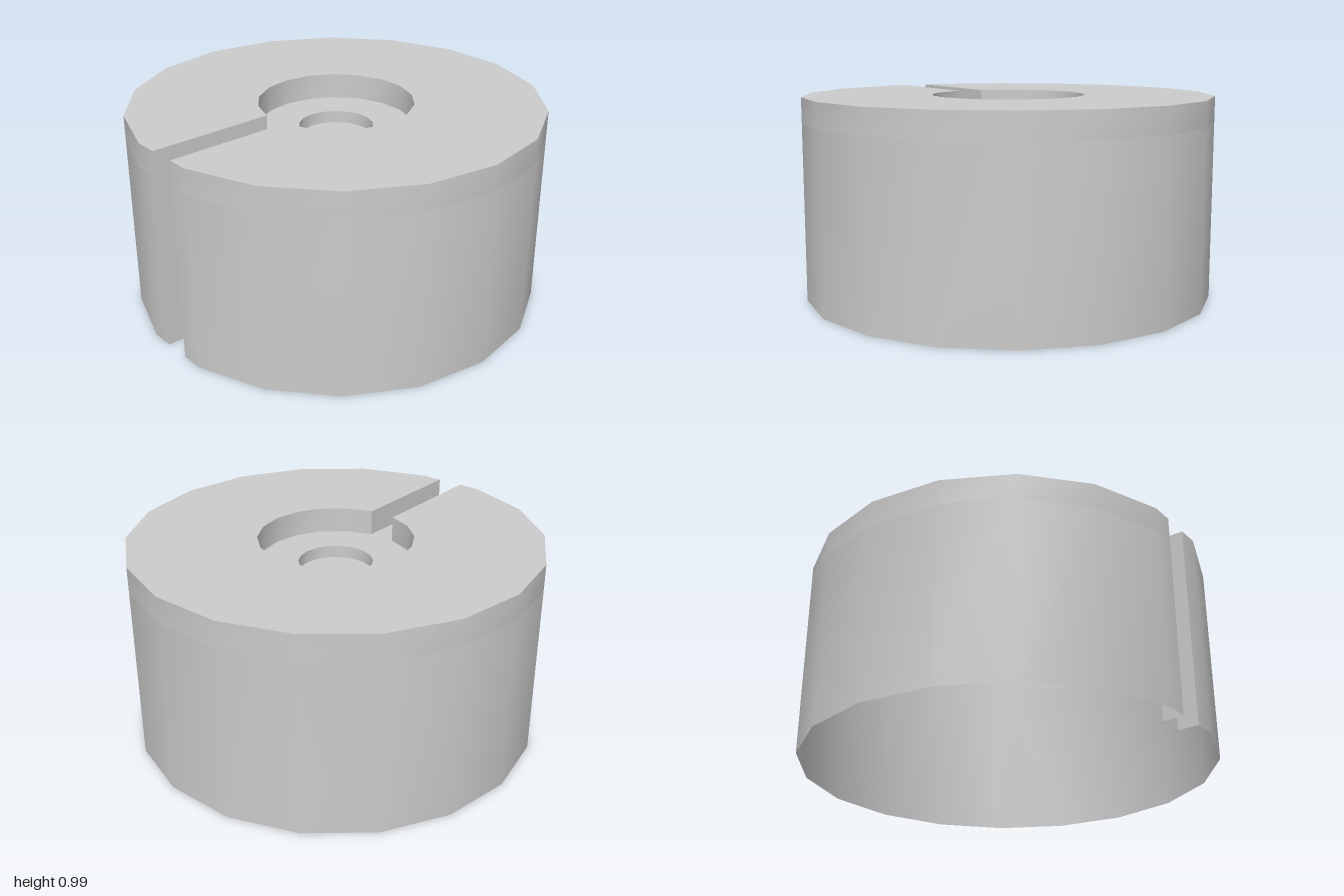
import * as THREE from 'three';
import { toCreasedNormals } from 'three/addons/utils/BufferGeometryUtils.js';

const SIDES = 18;
const TOP = 0.985, RECESS = 0.86, CUP = 0.8;   // heights of the top, recess floor and cup floor
const R_RECESS = 0.375, R_CUP = 0.18;
const SLOT = R_RECESS * Math.sin(Math.PI / SIDES); // half width: one recess facet
const SLOT_BACK = 0.885;

const material = new THREE.MeshStandardMaterial({ color: 0xcccccc, side: THREE.DoubleSide });

// Polygon ring as [x, z], starting just right of the front and running round to just left of it
function ring(radius) {
  return Array.from({ length: SIDES }, (_, i) => {
    const a = ((i + 0.5) / SIDES) * Math.PI * 2;
    return [radius * Math.sin(a), radius * Math.cos(a)];
  });
}

// Upright strip along a closed loop of [x, z] points
function wall(name, loop, y0, y1) {
  const pos = [];
  loop.forEach(([ax, az], i) => {
    const [bx, bz] = loop[(i + 1) % loop.length];
    pos.push(ax, y0, az, bx, y0, bz, bx, y1, bz);
    pos.push(ax, y0, az, bx, y1, bz, ax, y1, az);
  });
  const geo = new THREE.BufferGeometry();
  geo.setAttribute('position', new THREE.Float32BufferAttribute(pos, 3));
  return named(name, toCreasedNormals(geo, Math.PI / 6));
}

// Level sheet bounded by a loop, with an optional hole
function sheet(name, loop, y, hole) {
  const toVec = ([x, z]) => new THREE.Vector2(x, -z);
  const shape = new THREE.Shape(loop.map(toVec));
  if (hole) shape.holes.push(new THREE.Path(hole.map(toVec)));
  const geo = new THREE.ShapeGeometry(shape);
  geo.rotateX(-Math.PI / 2);
  geo.translate(0, y, 0);
  return named(name, geo);
}

function named(name, geo) {
  const mesh = new THREE.Mesh(geo, material);
  mesh.name = name;
  return mesh;
}

export function createModel() {
  const group = new THREE.Group();
  group.name = 'slottedCap';

  const front = Math.cos(Math.PI / SIDES);
  const outer = [[SLOT, front], ...ring(1), [-SLOT, front]];
  const slotBack = [[-SLOT, SLOT_BACK], [SLOT, SLOT_BACK]];
  const recess = ring(R_RECESS);
  const cup = ring(R_CUP);
  const keyhole = [...outer, ...recess.slice().reverse()];

  group.add(
    // Outer skirt with the upright groove in front, open underneath
    wall('skirt', [...outer, ...slotBack], 0, RECESS),
    // Rim above the recess floor: outside, slot sides and recess wall
    wall('rim', keyhole, RECESS, TOP),
    sheet('topFace', keyhole, TOP),
    // Sunken floor running out along the slot
    sheet('recessFloor', [...recess, ...slotBack], RECESS, cup),
    // Small cup in the centre
    wall('cupWall', cup.slice().reverse(), CUP, RECESS),
    sheet('cupFloor', cup, CUP)
  );
  return group;
}
